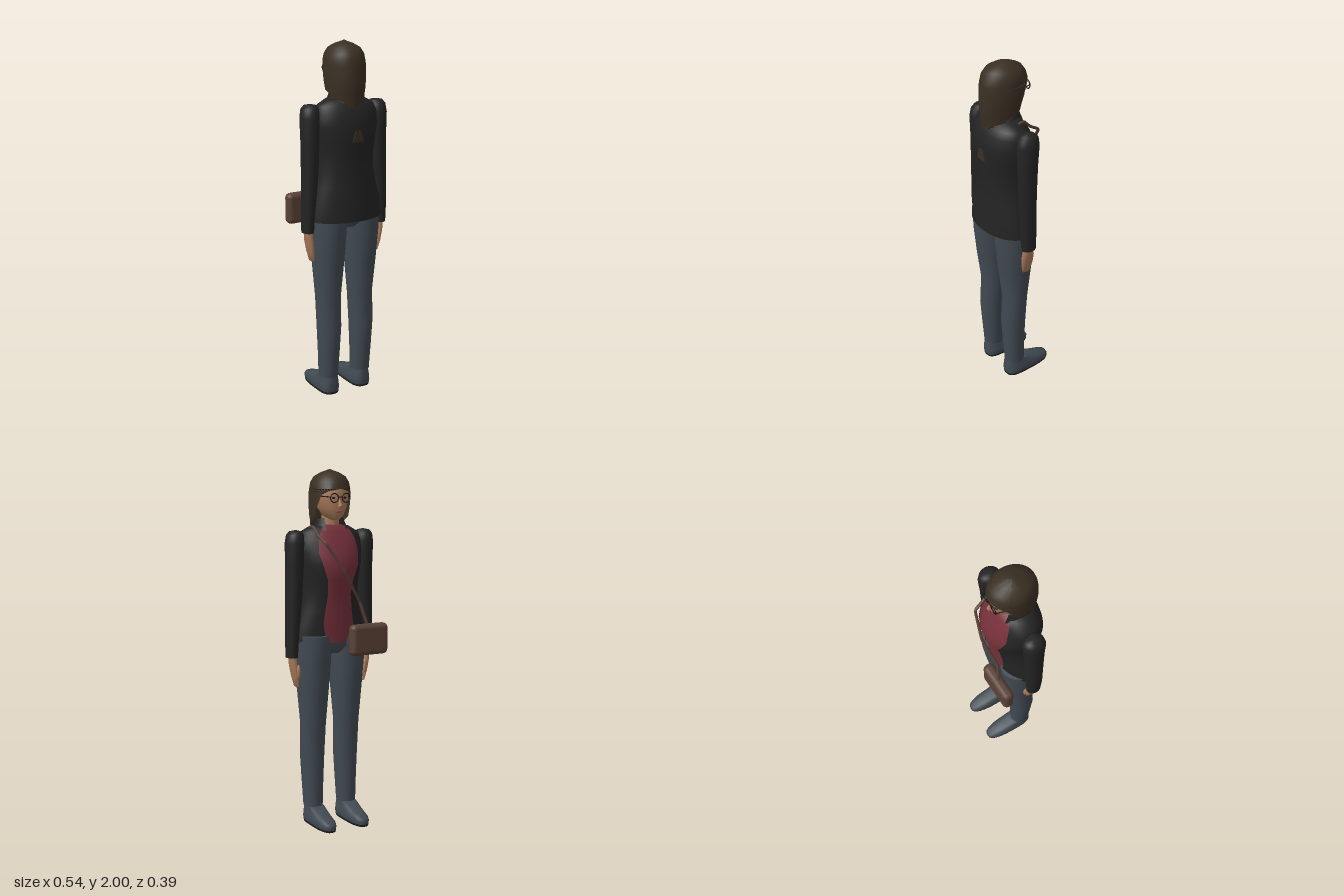
import * as THREE from 'three';
import { toCreasedNormals } from 'three/addons/utils/BufferGeometryUtils.js';
import { RoundedBoxGeometry } from 'three/addons/geometries/RoundedBoxGeometry.js';

const mat = (name, color, open) => {
  const m = new THREE.MeshStandardMaterial({ color });
  m.name = name;
  if (open) m.side = THREE.DoubleSide;
  return m;
};

// Loft through oval rings, listed bottom to top.
// Row: [y, centre x, centre z, half width, front depth, back depth, start deg, end deg, front lift]
// Angles run from the chest side (-z) round through +x.
function loft(rows, seg = 24, power = 1) {
  const pos = [], idx = [];
  const pw = (v) => Math.sign(v) * Math.abs(v) ** power;
  for (const [y, cx, cz, rx, rf, rb, a0 = 0, a1 = 360, lift = 0] of rows) {
    for (let j = 0; j <= seg; j++) {
      const a = THREE.MathUtils.degToRad(a0 + (a1 - a0) * j / seg);
      const c = Math.cos(a);
      pos.push(cx + rx * pw(Math.sin(a)), y + lift * Math.max(0, c), cz - pw(c) * (c > 0 ? rf : rb));
    }
  }
  for (let i = 0; i < rows.length - 1; i++) {
    for (let j = 0; j < seg; j++) {
      const p = i * (seg + 1) + j, q = p + seg + 1;
      idx.push(p, q, p + 1, p + 1, q, q + 1);
    }
  }
  const g = new THREE.BufferGeometry();
  g.setAttribute('position', new THREE.Float32BufferAttribute(pos, 3));
  g.setIndex(idx);
  return toCreasedNormals(g, 0.8);
}

export function createModel() {
  const model = new THREE.Group();
  const jacketMat = mat('black jacket', 0x232323, true);
  const shirtMat = mat('red shirt', 0x75303a, true);
  const denim = mat('slate denim', 0x414a52);
  const sole = mat('dark sole', 0x1c1f22);
  const hairMat = mat('brown hair', 0x3a2f23, true);
  const skin = mat('skin', 0xa97a5a);
  const leather = mat('brown leather', 0x5a4237);
  const frame = mat('dark frames', 0x1a1512);
  const lipMat = mat('lips', 0x94504a);

  const add = (name, geo, material, x = 0, y = 0, z = 0) => {
    const m = new THREE.Mesh(geo, material);
    m.name = name;
    m.position.set(x, y, z);
    model.add(m);
    return m;
  };
  const ball = (name, material, x, y, z, sx, sy, sz) =>
    add(name, new THREE.SphereGeometry(1, 24, 16), material, x, y, z).scale.set(sx, sy, sz);
  const tube = (name, pts, r, material) => {
    const path = new THREE.CurvePath();
    const v = pts.map((p) => new THREE.Vector3(...p));
    for (let i = 1; i < v.length; i++) path.add(new THREE.LineCurve3(v[i - 1], v[i]));
    return add(name, new THREE.TubeGeometry(path, 48, r, 8), material);
  };

  // Open jacket
  add('jacket', loft([
    [1.03, 0, 0.05, 0.222, 0.126, 0.142, 22, 338, 0.07],
    [1.13, 0, 0.05, 0.212, 0.128, 0.137, 26, 334, 0.03],
    [1.22, 0, 0.05, 0.185, 0.13, 0.127, 27, 333],
    [1.32, 0, 0.05, 0.167, 0.138, 0.121, 25, 335],
    [1.40, 0, 0.05, 0.167, 0.16, 0.125, 28, 332],
    [1.48, 0, 0.05, 0.18, 0.177, 0.133, 36, 324],
    [1.55, 0, 0.05, 0.19, 0.153, 0.135, 40, 320],
    [1.62, 0, 0.05, 0.188, 0.123, 0.122, 36, 324],
    [1.66, 0, 0.05, 0.17, 0.10, 0.10, 34, 326],
    [1.69, 0, 0.05, 0.115, 0.083, 0.075, 38, 322],
    [1.70, 0, 0.045, 0.062, 0.058, 0.05, 42, 318],
  ], 40), jacketMat);
  add('collar', loft([
    [1.67, 0, 0.04, 0.098, 0.10, 0.085, 40, 320],
    [1.735, 0, 0.035, 0.075, 0.07, 0.07, 48, 312],
  ]), jacketMat);

  // Shirt front under the jacket
  add('shirt', loft([
    [1.05, 0, 0.05, 0.204, 0.119, 0.13, -12, 12],
    [1.13, 0, 0.05, 0.207, 0.124, 0.13, -32, 32],
    [1.22, 0, 0.05, 0.181, 0.127, 0.12, -32, 32],
    [1.32, 0, 0.05, 0.163, 0.135, 0.12, -30, 30],
    [1.40, 0, 0.05, 0.163, 0.157, 0.12, -34, 34],
    [1.48, 0, 0.05, 0.176, 0.174, 0.12, -42, 42],
    [1.55, 0, 0.05, 0.186, 0.15, 0.12, -46, 46],
    [1.62, 0, 0.05, 0.184, 0.12, 0.12, -46, 46],
    [1.66, 0, 0.05, 0.166, 0.097, 0.10, -46, 46],
    [1.69, 0, 0.05, 0.111, 0.08, 0.07, -50, 50],
    [1.70, 0, 0.045, 0.06, 0.055, 0.05, -52, 52],
  ]), shirtMat);

  // Hips
  add('hips', loft([
    [0.985, 0, 0.045, 0, 0, 0],
    [0.986, 0, 0.045, 0.06, 0.08, 0.08],
    [1.03, 0, 0.045, 0.15, 0.112, 0.112],
    [1.13, 0, 0.045, 0.19, 0.115, 0.115],
    [1.14, 0, 0.045, 0, 0, 0],
  ]), denim);

  for (const s of [1, -1]) {
    const side = s > 0 ? 'left' : 'right';
    // Trouser leg
    add(side + 'Leg', loft([
      [0.10, s * 0.107, 0.043, 0, 0, 0],
      [0.10, s * 0.107, 0.043, 0.055, 0.058, 0.06],
      [0.25, s * 0.107, 0.05, 0.062, 0.065, 0.065],
      [0.40, s * 0.107, 0.053, 0.069, 0.073, 0.073],
      [0.58, s * 0.106, 0.042, 0.073, 0.073, 0.073],
      [0.78, s * 0.106, 0.043, 0.088, 0.098, 0.098],
      [0.95, s * 0.106, 0.043, 0.10, 0.115, 0.115],
      [1.09, s * 0.103, 0.041, 0.102, 0.118, 0.12],
      [1.10, s * 0.103, 0.041, 0, 0, 0],
    ]), denim);
    // Shoe and sole
    add(side + 'Shoe', loft([
      [0.01, s * 0.105, 0.02, 0.052, 0.212, 0.083],
      [0.03, s * 0.105, 0.02, 0.057, 0.215, 0.086],
      [0.047, s * 0.105, 0.02, 0.055, 0.205, 0.086],
      [0.066, s * 0.105, 0.02, 0.052, 0.145, 0.086],
      [0.10, s * 0.105, 0.02, 0.046, 0.05, 0.083],
      [0.104, s * 0.105, 0.02, 0, 0, 0],
    ], 32, 0.72), denim);
    add(side + 'Sole', loft([
      [0, s * 0.105, 0.02, 0, 0, 0],
      [0, s * 0.105, 0.02, 0.052, 0.21, 0.083],
      [0.012, s * 0.105, 0.02, 0.054, 0.214, 0.085],
      [0.012, s * 0.105, 0.02, 0, 0, 0],
    ], 32, 0.72), sole);
    // Sleeve
    add(side + 'Sleeve', loft([
      [0.975, s * 0.236, 0.043, 0, 0, 0],
      [0.97, s * 0.236, 0.043, 0.032, 0.042, 0.043],
      [1.08, s * 0.233, 0.045, 0.037, 0.048, 0.048],
      [1.30, s * 0.221, 0.045, 0.046, 0.052, 0.052],
      [1.48, s * 0.216, 0.042, 0.05, 0.057, 0.057],
      [1.60, s * 0.216, 0.04, 0.052, 0.063, 0.063],
      [1.645, s * 0.214, 0.038, 0.047, 0.056, 0.056],
      [1.665, s * 0.212, 0.038, 0.034, 0.038, 0.038],
      [1.672, s * 0.21, 0.038, 0, 0, 0],
    ]), jacketMat);
    // Hand and thumb
    add(side + 'Hand', loft([
      [0.795, s * 0.208, 0.04, 0, 0, 0],
      [0.805, s * 0.21, 0.04, 0.01, 0.024, 0.024],
      [0.86, s * 0.218, 0.041, 0.017, 0.036, 0.036],
      [0.92, s * 0.227, 0.042, 0.021, 0.038, 0.038],
      [0.98, s * 0.234, 0.043, 0.022, 0.029, 0.029],
    ], 16), skin);
    ball(side + 'Thumb', skin, s * 0.212, 0.89, 0.008, 0.012, 0.04, 0.013);
    // Glasses and eye
    add(side + 'Lens', new THREE.TorusGeometry(0.024, 0.003, 8, 24), frame, s * 0.036, 1.845, -0.085);
    tube(side + 'Temple', [[s * 0.06, 1.85, -0.084], [s * 0.092, 1.855, 0.01]], 0.003, frame);
    ball(side + 'Eye', frame, s * 0.034, 1.845, -0.07, 0.011, 0.006, 0.005);
  }
  tube('glassesBridge', [[-0.013, 1.85, -0.086], [0.013, 1.85, -0.086]], 0.003, frame);

  // Neck, head and face
  add('neck', new THREE.CylinderGeometry(0.046, 0.054, 0.16, 24), skin, 0, 1.70, 0.035);
  add('head', loft([
    [1.722, 0, 0.0, 0, 0, 0],
    [1.727, 0, 0.0, 0.025, 0.055, 0.04],
    [1.75, 0, 0.01, 0.054, 0.082, 0.06],
    [1.79, 0, 0.015, 0.077, 0.092, 0.09],
    [1.84, 0, 0.02, 0.09, 0.098, 0.11],
    [1.89, 0, 0.025, 0.092, 0.102, 0.115],
    [1.94, 0, 0.035, 0.07, 0.08, 0.09],
    [1.97, 0, 0.04, 0, 0, 0],
  ], 32), skin);
  const nose = add('nose', new THREE.ConeGeometry(0.014, 0.05, 12), skin, 0, 1.822, -0.081);
  nose.rotation.x = 0.25;
  ball('mouth', lipMat, 0, 1.772, -0.071, 0.022, 0.006, 0.012);

  // Long hair with a fringe, open around the face
  add('hair', loft([
    [1.645, 0, 0.04, 0.10, 0.12, 0.125, 172, 188],
    [1.675, 0, 0.04, 0.10, 0.12, 0.127, 140, 220],
    [1.70, 0, 0.04, 0.102, 0.12, 0.13, 110, 250],
    [1.74, 0, 0.04, 0.105, 0.125, 0.135, 78, 282],
    [1.79, 0, 0.04, 0.109, 0.128, 0.138, 71, 289],
    [1.86, 0, 0.04, 0.11, 0.131, 0.135, 54, 306],
    [1.88, 0, 0.04, 0.109, 0.132, 0.133, 34, 326],
    [1.893, 0, 0.04, 0.108, 0.132, 0.131, 0, 360],
    [1.93, 0, 0.04, 0.101, 0.121, 0.122],
    [1.96, 0, 0.04, 0.083, 0.10, 0.10],
    [1.982, 0, 0.04, 0.047, 0.055, 0.055],
    [1.992, 0, 0.04, 0.018, 0.02, 0.02],
    [2.0, 0, 0.04, 0, 0, 0],
  ], 40), hairMat);
  // Hair tip lying on the back
  const tip = new THREE.Shape([[-0.034, 1.47], [0.034, 1.47], [0.018, 1.53], [-0.018, 1.53]]
    .map((p) => new THREE.Vector2(...p)));
  add('hairTip', new THREE.ExtrudeGeometry(tip, { depth: 0.008, bevelEnabled: false }), hairMat, 0, 0, 0.18);

  // Shoulder bag and strap
  add('bag', new RoundedBoxGeometry(0.235, 0.175, 0.065, 4, 0.028), leather, -0.152, 1.068, -0.133)
    .rotation.y = 0.03;
  tube('bagStrap', [
    [-0.15, 1.14, -0.13], [-0.11, 1.27, -0.112], [0, 1.45, -0.14],
    [0.10, 1.60, -0.115], [0.115, 1.645, -0.045], [0.122, 1.69, 0.0], [0.125, 1.685, 0.04],
  ], 0.008, leather);

  return model;
}
